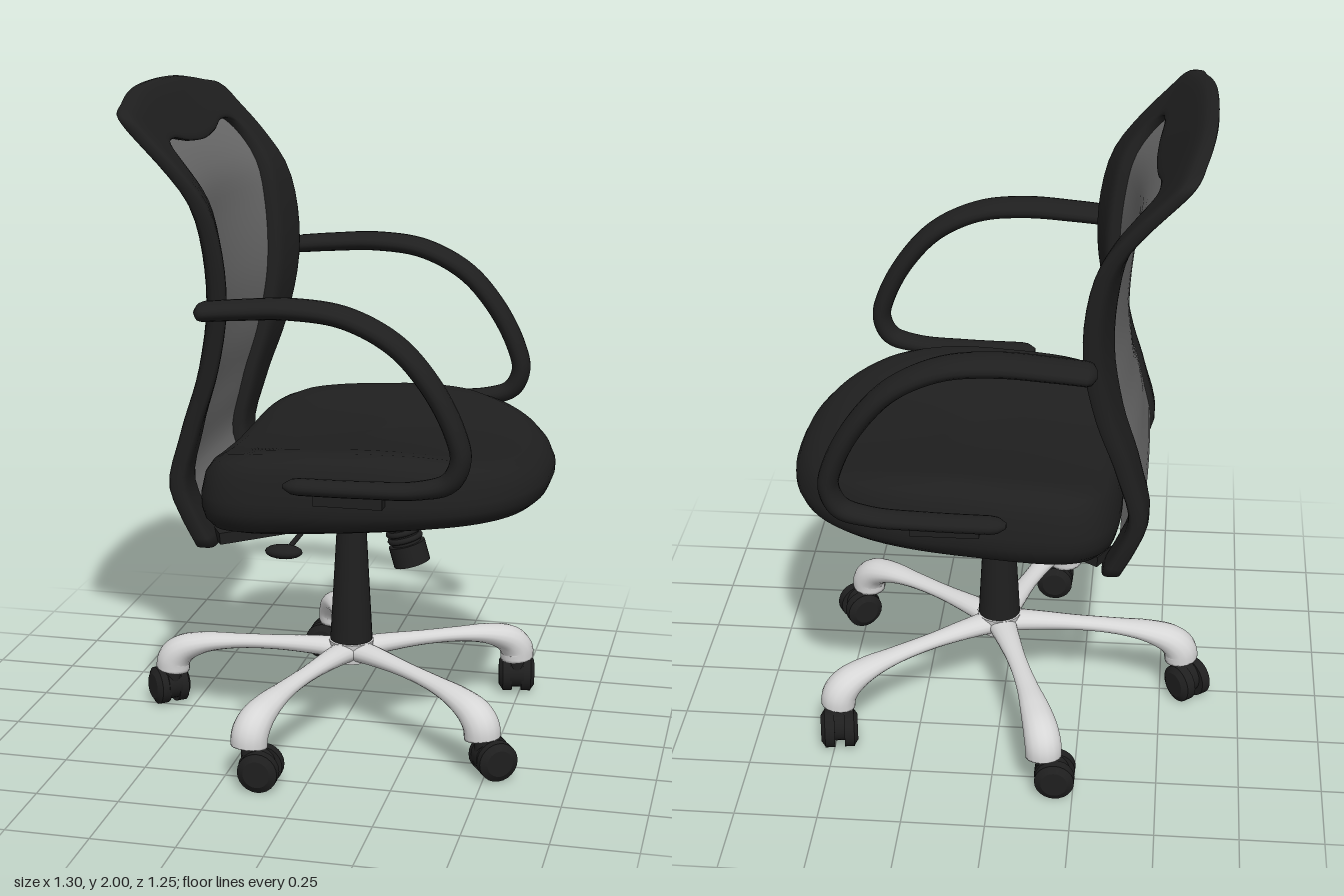
import * as THREE from 'three';

const mat = (name, color, side = THREE.FrontSide) => {
  const m = new THREE.MeshStandardMaterial({ color, side });
  m.name = name;
  return m;
};
const V = (x, y, z) => new THREE.Vector3(x, y, z);
const power = (v, e) => Math.sign(v) * Math.abs(v) ** e;

// Smooth lookup through [key, value] pairs
function lookup(pairs) {
  const c = new THREE.CubicInterpolant(pairs.map(p => p[0]), pairs.map(p => p[1]), 1, [0]);
  return k => c.evaluate(k)[0];
}

// Skin closed rings of points, cap both ends, and turn faces outward
function loft(rings) {
  const n = rings[0].length, pts = rings.flat(), idx = [];
  for (let i = 0; i < rings.length - 1; i++)
    for (let j = 0; j < n; j++) {
      const a = i * n + j, b = i * n + (j + 1) % n;
      idx.push(a, b, a + n, b, b + n, a + n);
    }
  [0, rings.length - 1].forEach((r, end) => {
    const centre = rings[r].reduce((s, p) => s.add(p), V(0, 0, 0)).divideScalar(n);
    const c = pts.push(centre) - 1;
    for (let j = 0; j < n; j++) {
      const a = r * n + j, b = r * n + (j + 1) % n;
      end ? idx.push(a, b, c) : idx.push(b, a, c);
    }
  });
  let volume = 0;
  for (let i = 0; i < idx.length; i += 3)
    volume += pts[idx[i]].dot(V(0, 0, 0).crossVectors(pts[idx[i + 1]], pts[idx[i + 2]]));
  if (volume < 0) idx.reverse();
  const g = new THREE.BufferGeometry().setFromPoints(pts);
  g.setIndex(idx);
  g.computeVertexNormals();
  return g;
}

// Sweep an oval along a path in the xy plane; stations are [x, y, halfHeight, halfWidth]
function sweep(stations, steps, roundEnds = 0) {
  const path = new THREE.CatmullRomCurve3(stations.map(s => V(s[0], s[1], 0)));
  const size = lookup(stations.map((s, i) => [i / (stations.length - 1), s[2]]));
  const width = lookup(stations.map((s, i) => [i / (stations.length - 1), s[3]]));
  const rings = [];
  for (let i = 0; i <= steps; i++) {
    const t = i / steps, p = path.getPoint(t), d = path.getTangent(t);
    const e = roundEnds ? Math.min(1, t / roundEnds, (1 - t) / roundEnds) : 1;
    const k = Math.sqrt(Math.max(0.1, 1 - (1 - e) ** 2));
    rings.push(Array.from({ length: 16 }, (_, j) => {
      const a = j / 16 * Math.PI * 2, h = Math.cos(a) * size(t) * k;
      return V(p.x - d.y * h, p.y + d.x * h, Math.sin(a) * width(t) * k);
    }));
  }
  return loft(rings);
}

// Curved surface of the backrest: x for a given height and sideways position
const edgeX = lookup([[0.66, -0.345], [0.75, -0.385], [0.85, -0.415], [1, -0.37], [1.2, -0.295],
  [1.4, -0.262], [1.6, -0.285], [1.7, -0.325], [1.8, -0.405], [1.9, -0.50], [2, -0.585]]);
const hollow = lookup([[0.66, 0], [0.9, 0.02], [1.1, 0.06], [1.3, 0.088], [1.6, 0.088], [1.8, 0.03], [2, 0.01]]);
const backX = (y, z) => edgeX(y) - hollow(y) * Math.max(0, 1 - (z / 0.47) ** 2);

function backFrame() {
  const outer = [[0.38, 0.66], [0.40, 0.8], [0.405, 1], [0.42, 1.2], [0.445, 1.45], [0.465, 1.7],
    [0.48, 1.88], [0.472, 1.935], [0.36, 1.963], [0.2, 1.988], [0, 1.995]];
  const inner = [[0.265, 0.66], [0.265, 0.8], [0.27, 1], [0.29, 1.2], [0.315, 1.45], [0.335, 1.65],
    [0.35, 1.79], [0.325, 1.84], [0.24, 1.85], [0.13, 1.83], [0, 1.82]];
  const curve = half => new THREE.CatmullRomCurve3(
    [...half, ...half.slice(0, -1).reverse().map(([z, y]) => [-z, y])].map(([z, y]) => V(0, y, z)));
  const o = curve(outer), n = curve(inner), rings = [];
  for (let i = 0; i <= 100; i++) {
    const a = n.getPoint(i / 100), b = o.getPoint(i / 100);
    rings.push(Array.from({ length: 20 }, (_, j) => {
      const w = j / 20 * Math.PI * 2;
      const p = a.clone().lerp(b, 0.5 + 0.5 * power(Math.cos(w), 0.55));
      p.x = backX(p.y, p.z) + power(Math.sin(w), 0.55) * 0.03;
      return p;
    }));
  }
  return loft(rings);
}

function backMesh() {
  const halfWidth = lookup([[0.66, 0.285], [1, 0.29], [1.2, 0.31], [1.45, 0.335], [1.88, 0.37]]);
  const g = new THREE.PlaneGeometry(2, 1, 20, 36), p = g.attributes.position;
  for (let i = 0; i < p.count; i++) {
    const y = 0.67 + (p.getY(i) + 0.5) * 1.21, z = -p.getX(i) * halfWidth(y);
    p.setXYZ(i, backX(y, z) - 0.012, y, z);
  }
  g.computeVertexNormals();
  return g;
}

function seatCushion() {
  const top = lookup([[-0.37, 0.95], [-0.1, 0.985], [0.2, 1], [0.4, 0.985], [0.55, 0.95], [0.635, 0.915]]);
  const mid = lookup([[-0.37, 0.82], [0.2, 0.845], [0.635, 0.85]]);
  const bottom = lookup([[-0.37, 0.70], [0, 0.728], [0.3, 0.755], [0.635, 0.775]]);
  // [plan scale, height: 1 top, 0 widest line, -1 underside]
  const layers = [[0.02, 1], [0.3, 1], [0.55, 1], [0.75, 1], [0.86, 0.97], [0.93, 0.85], [0.975, 0.58], [1, 0.1],
    [1, -0.25], [0.98, -0.6], [0.935, -0.87], [0.86, -1], [0.4, -1], [0.02, -1]];
  return loft(layers.map(([s, f]) => Array.from({ length: 72 }, (_, j) => {
    const a = j / 72 * Math.PI * 2, c = Math.cos(a), e = 2 / (c > 0 ? 2.5 : 5);
    const x = 0.1 + s * power(c, e) * (c > 0 ? 0.535 : 0.47);
    const z = s * power(Math.sin(a), e) * 0.515;
    const flat = THREE.MathUtils.smoothstep(x, 0.3, 0.6);
    const m = mid(x), dip = (0.045 - 0.03 * flat) * Math.max(0, 1 - (z / 0.42) ** 2);
    const y = f > 0 ? m + f * (top(x) - dip - m) : m + f * (m - bottom(x) - 0.025 * (z / 0.5) ** 2);
    return V(x, y, z);
  })));
}

export function createModel() {
  const model = new THREE.Group();
  model.name = 'officeChair';
  const black = mat('black', 0x1f1f1f);
  const grey = mat('greyMesh', 0x6c6c6c, THREE.DoubleSide);
  const silver = mat('silver', 0xd6d6d6);
  const add = (parent, name, geo, m, x = 0, y = 0, z = 0) => {
    const o = new THREE.Mesh(geo, m);
    o.name = name;
    o.position.set(x, y, z);
    parent.add(o);
    return o;
  };
  const group = (parent, name, x = 0, y = 0, z = 0) => {
    const g = new THREE.Group();
    g.name = name;
    g.position.set(x, y, z);
    parent.add(g);
    return g;
  };
  const cyl = (rTop, rBottom, h, n = 24) => new THREE.CylinderGeometry(rTop, rBottom, h, n);

  // Backrest and seat
  add(model, 'backFrame', backFrame(), black, 0, 0, -0.01);
  add(model, 'backMesh', backMesh(), grey, 0, 0, -0.01);
  add(model, 'seat', seatCushion(), black, 0, 0, -0.005);

  // Looped armrests with their seat brackets
  const arm = sweep([[-0.30, 1.413, 0.028, 0.057], [-0.17, 1.425, 0.029, 0.058], [-0.02, 1.433, 0.03, 0.058],
    [0.13, 1.415, 0.03, 0.056], [0.27, 1.345, 0.03, 0.053], [0.37, 1.235, 0.03, 0.05], [0.437, 1.11, 0.03, 0.046],
    [0.455, 1.03, 0.03, 0.043], [0.425, 0.965, 0.03, 0.041], [0.34, 0.937, 0.026, 0.039],
    [0.18, 0.928, 0.024, 0.038], [-0.05, 0.925, 0.024, 0.036]], 110, 0.018);
  for (const s of [1, -1]) {
    add(model, 'armrest', arm, black, 0, 0, s * 0.565);
    add(model, 'armBracket', new THREE.BoxGeometry(0.2, 0.05, 0.06), black, 0.13, 0.89, s * 0.515);
    // Support arm running from the tilt mechanism to the foot of the back
    const strut = add(model, 'backStrut', new THREE.BoxGeometry(0.46, 0.035, 0.08), black, -0.12, 0.70, s * 0.2);
    strut.rotation.set(0, s * 0.5, 0.08);
  }

  // Tilt mechanism, gas lift and height lever
  add(model, 'tiltMechanism', new THREE.BoxGeometry(0.3, 0.05, 0.16), black, 0.06, 0.735, 0);
  add(model, 'liftRod', cyl(0.024, 0.024, 0.14), black, 0.02, 0.68, 0);
  add(model, 'liftColumn', cyl(0.046, 0.066, 0.36), black, 0.02, 0.455, 0);
  const rod = add(model, 'leverRod', cyl(0.008, 0.008, 0.44, 10), black, -0.06, 0.71, 0.3);
  rod.rotation.x = Math.PI / 2;
  const paddle = add(model, 'leverPaddle', new THREE.SphereGeometry(1, 16, 10), black, -0.06, 0.718, 0.525);
  paddle.scale.set(0.055, 0.02, 0.035);

  // Ribbed tension spring and knob
  const tension = group(model, 'tensionControl', 0.15, 0.75, 0);
  tension.rotation.z = 0.28;
  add(tension, 'springCore', cyl(0.045, 0.045, 0.16), black, 0, -0.08, 0);
  for (let i = 0; i < 6; i++) {
    const coil = add(tension, 'springCoil', new THREE.TorusGeometry(0.047, 0.009, 8, 24), black, 0, -0.03 - i * 0.022, 0);
    coil.rotation.x = Math.PI / 2;
  }
  add(tension, 'tensionKnob', cyl(0.057, 0.057, 0.065), black, 0, -0.19, 0);

  // Five-star base with twin-wheel casters, each trailing its own way
  const base = group(model, 'base', 0.02, 0, 0);
  add(base, 'hub', cyl(0.07, 0.06, 0.065), silver, 0, 0.24, 0);
  const leg = sweep([[0, 0.24, 0.034, 0.05], [0.12, 0.243, 0.028, 0.038], [0.25, 0.241, 0.022, 0.03],
    [0.38, 0.234, 0.023, 0.034], [0.48, 0.22, 0.032, 0.046], [0.55, 0.193, 0.046, 0.054],
    [0.58, 0.16, 0.053, 0.056], [0.585, 0.125, 0.053, 0.055]], 40);
  for (const [deg, trail] of [[180, 230], [108, 0], [36, -31], [-36, -100], [-108, 180]]) {
    const spoke = group(base, 'spoke');
    spoke.rotation.y = -deg * Math.PI / 180;
    add(spoke, 'leg', leg, silver);
    const caster = group(spoke, 'caster', 0.585, 0, 0);
    caster.rotation.y = (deg - trail) * Math.PI / 180;
    add(caster, 'casterStem', cyl(0.024, 0.024, 0.06, 14), black, 0, 0.105, 0);
    const body = add(caster, 'casterBody', cyl(0.052, 0.052, 0.045, 20), black, 0.025, 0.068, 0);
    body.rotation.x = Math.PI / 2;
    for (const s of [1, -1]) {
      const wheel = add(caster, 'casterWheel', cyl(0.06, 0.06, 0.03), black, 0.035, 0.06, s * 0.03);
      wheel.rotation.x = Math.PI / 2;
      const cap = add(caster, 'wheelCap', cyl(0.04, 0.058, 0.012), black, 0.035, 0.06, s * 0.051);
      cap.rotation.x = s * Math.PI / 2;
    }
  }
  return model;
}
